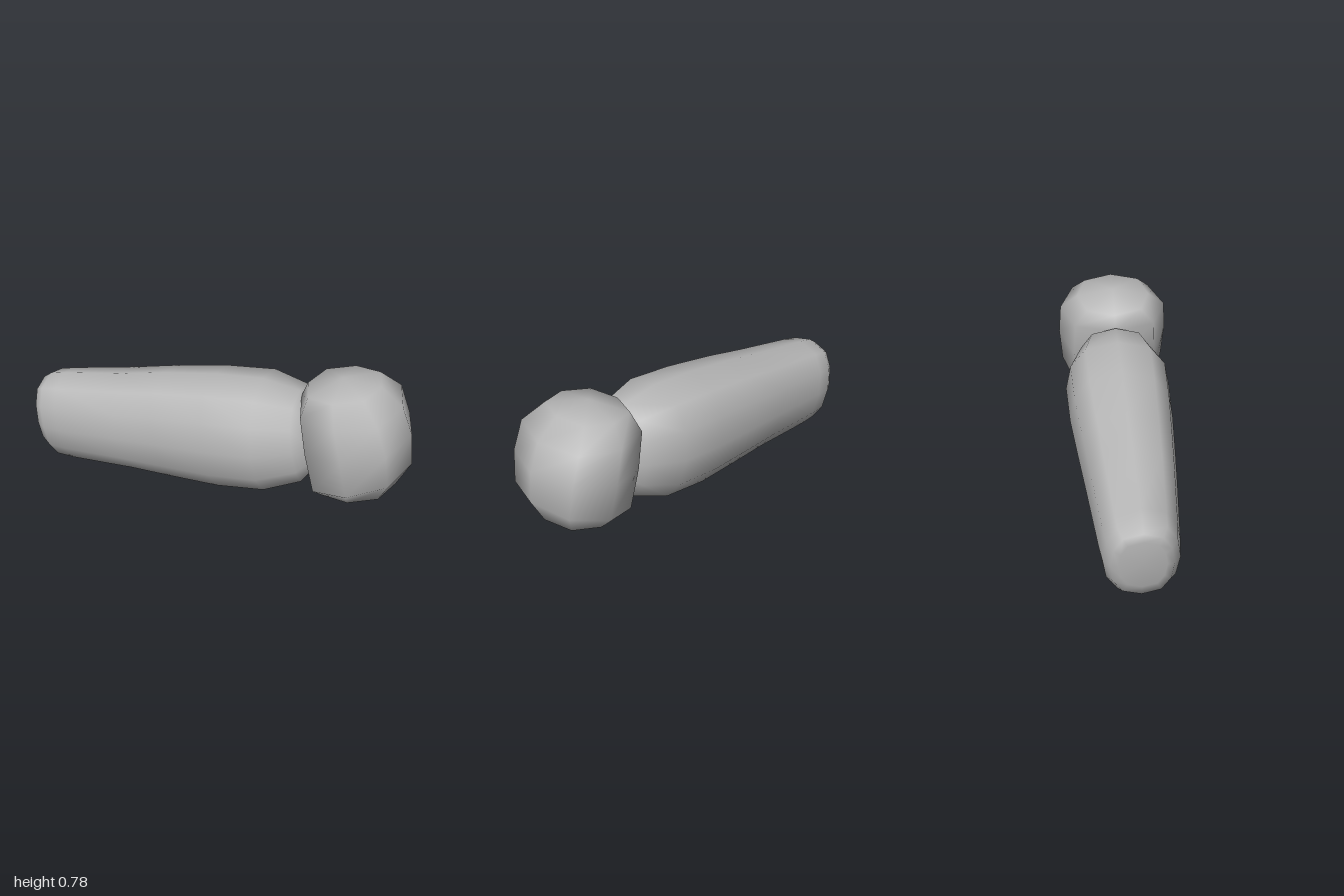
import * as THREE from 'three';
import { mergeVertices } from 'three/addons/utils/BufferGeometryUtils.js';

// Skin closed rings; each ring is [ax, ay, bx, by, halfZ, centreZ],
// where a and b are its opposite points in the x-y plane.
function loft(rings, sides, yPower, zPower) {
  const bend = (v, p) => Math.sign(v) * Math.pow(Math.abs(v), p);
  const positions = [];
  const index = [];
  rings.forEach(([ax, ay, bx, by, halfZ, centreZ = 0], i) => {
    for (let j = 0; j < sides; j++) {
      const t = (j / sides) * Math.PI * 2;
      const c = bend(Math.cos(t), yPower) / 2;
      const s = bend(Math.sin(t), zPower);
      positions.push((ax + bx) / 2 + (ax - bx) * c, (ay + by) / 2 + (ay - by) * c, centreZ + halfZ * s);
      if (i === rings.length - 1) continue;
      const a = i * sides + j;
      const b = i * sides + ((j + 1) % sides);
      index.push(a, b, b + sides, a, b + sides, a + sides);
    }
  });
  const geometry = new THREE.BufferGeometry();
  geometry.setAttribute('position', new THREE.Float32BufferAttribute(positions, 3));
  geometry.setIndex(index);
  const merged = mergeVertices(geometry);
  merged.computeVertexNormals();
  return merged;
}

export function createModel() {
  const group = new THREE.Group();
  const grey = new THREE.MeshStandardMaterial({ color: 0xb8b8b8 });
  grey.name = 'plain grey';

  const add = (name, geometry) => {
    const mesh = new THREE.Mesh(geometry, grey);
    mesh.name = name;
    group.add(mesh);
  };

  // Tapered limb, from its blunt end to the end buried in the knob
  add('taperedLimb', loft([
    [-0.99, 0.26, -0.99, 0.26, 0, 0.025],
    [-1.0, 0.39, -0.97, 0.11, 0.11, 0.025],
    [-0.99, 0.43, -0.94, 0.04, 0.145, 0.025],
    [-0.95, 0.46, -0.88, 0.003, 0.177, 0.025],
    [-0.87, 0.48, -0.78, 0.005, 0.188, 0.023],
    [-0.53, 0.55, -0.42, 0.04, 0.22, 0.016],
    [-0.3, 0.605, -0.2, 0.05, 0.24, 0.01],
    [-0.02, 0.66, 0.06, 0.065, 0.262, 0.003],
    [0.23, 0.69, 0.31, 0.11, 0.27, 0],
    [0.42, 0.665, 0.49, 0.19, 0.2, 0],
    [0.5, 0.58, 0.55, 0.28, 0.12, 0],
    [0.55, 0.42, 0.55, 0.42, 0, 0],
  ], 12, 1, 0.7));

  // Rounded knob, from its lower pole to its upper pole
  add('roundedKnob', loft([
    [0.75, 0.165, 0.75, 0.165, 0],
    [0.56, 0.175, 0.93, 0.25, 0.19],
    [0.51, 0.22, 1.0, 0.39, 0.275],
    [0.46, 0.44, 0.985, 0.55, 0.29],
    [0.43, 0.64, 0.93, 0.69, 0.28],
    [0.46, 0.72, 0.82, 0.78, 0.19],
    [0.63, 0.787, 0.63, 0.787, 0],
  ], 8, 0.85, 0.85));

  return group;
}
